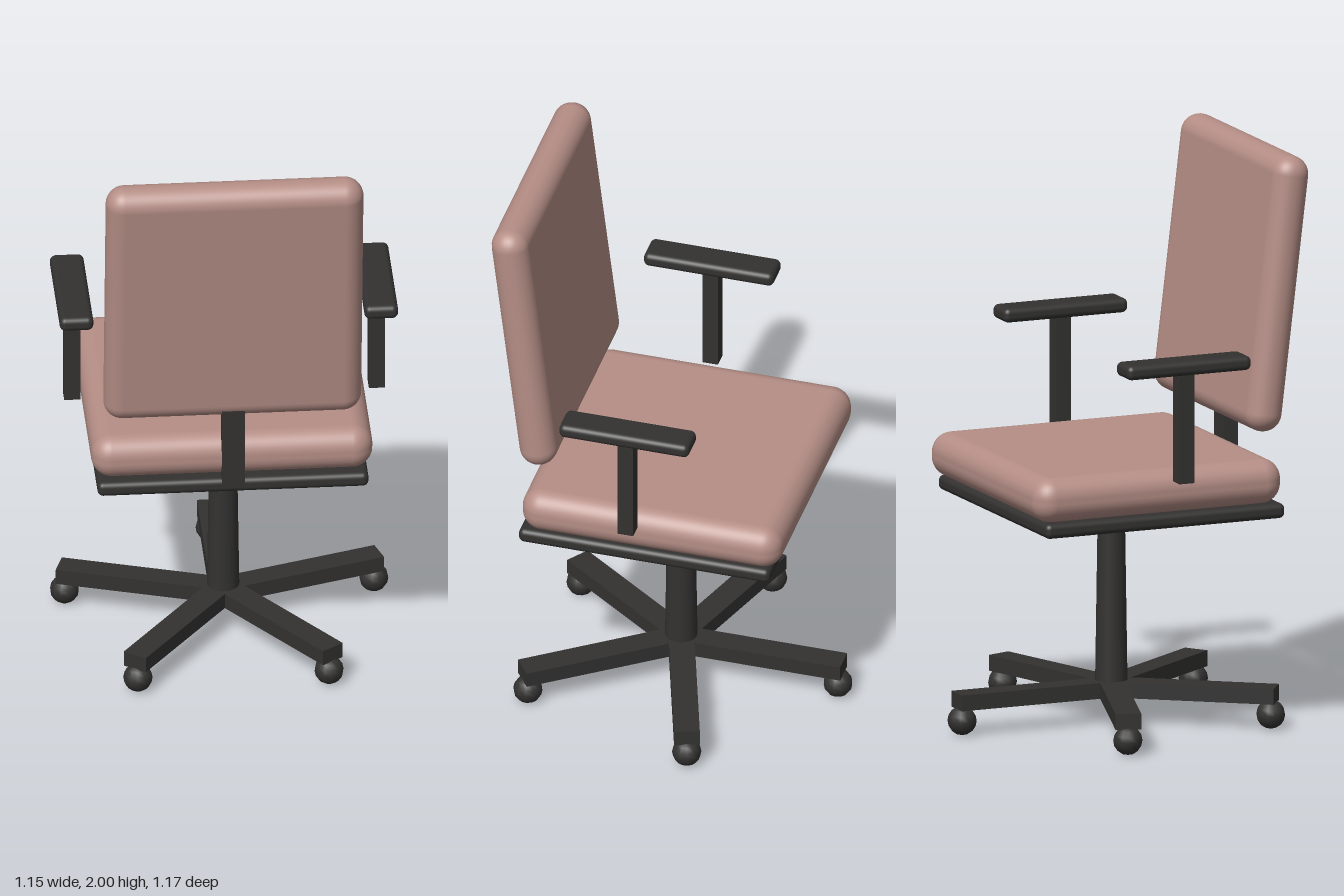
import * as THREE from 'three';
import { RoundedBoxGeometry } from 'three/addons/geometries/RoundedBoxGeometry.js';

export function createModel() {
  const chair = new THREE.Group();
  chair.name = 'officeChair';
  const fabric = new THREE.MeshStandardMaterial({ color: 0xb58e86 });
  const dark = new THREE.MeshStandardMaterial({ color: 0x333231 });

  const add = (name, geometry, material, x, y, z, parent = chair) => {
    const mesh = new THREE.Mesh(geometry, material);
    mesh.name = name;
    mesh.position.set(x, y, z);
    parent.add(mesh);
    return mesh;
  };
  const box = (w, h, d) => new THREE.BoxGeometry(w, h, d);
  const rounded = (w, h, d, r) => new RoundedBoxGeometry(w, h, d, 5, r);

  // Seat and the plate under it
  add('seatCushion', rounded(0.96, 0.155, 0.92, 0.07), fabric, 0, 0.887, 0);
  add('seatPlate', rounded(0.925, 0.052, 0.89, 0.02), dark, 0, 0.784, 0.021);

  // Reclined backrest on a flat upright
  const back = add('backrest', rounded(0.88, 0.956, 0.13, 0.064), fabric, 0, 1.525, 0.466);
  back.rotation.x = 0.12;
  add('backSupport', box(0.078, 0.29, 0.055), dark, 0, 0.937, 0.447);

  // Armrests, mirrored
  for (const side of [-1, 1]) {
    const arm = new THREE.Group();
    arm.name = side > 0 ? 'leftArmrest' : 'rightArmrest';
    chair.add(arm);
    add('armPost', box(0.055, 0.39, 0.055), dark, side * 0.52, 1.125, 0.06, arm);
    add('armPad', rounded(0.115, 0.05, 0.46, 0.02), dark, side * 0.52, 1.335, 0.06, arm);
  }

  // Tapered column
  const base = new THREE.Group();
  base.name = 'swivelBase';
  base.position.z = 0.02;
  chair.add(base);
  add('column', new THREE.CylinderGeometry(0.046, 0.056, 0.66, 20), dark, 0, 0.44, 0, base);

  // Five spokes with ball casters
  for (let i = 0; i < 5; i++) {
    const spoke = new THREE.Group();
    spoke.name = 'spoke' + (i + 1);
    spoke.rotation.y = (i * Math.PI * 2) / 5;
    base.add(spoke);
    add('leg', box(0.088, 0.055, 0.575), dark, 0, 0.121, -0.2875, spoke);
    add('caster', new THREE.SphereGeometry(0.05, 12, 8), dark, 0, 0.052, -0.555, spoke);
  }
  return chair;
}
